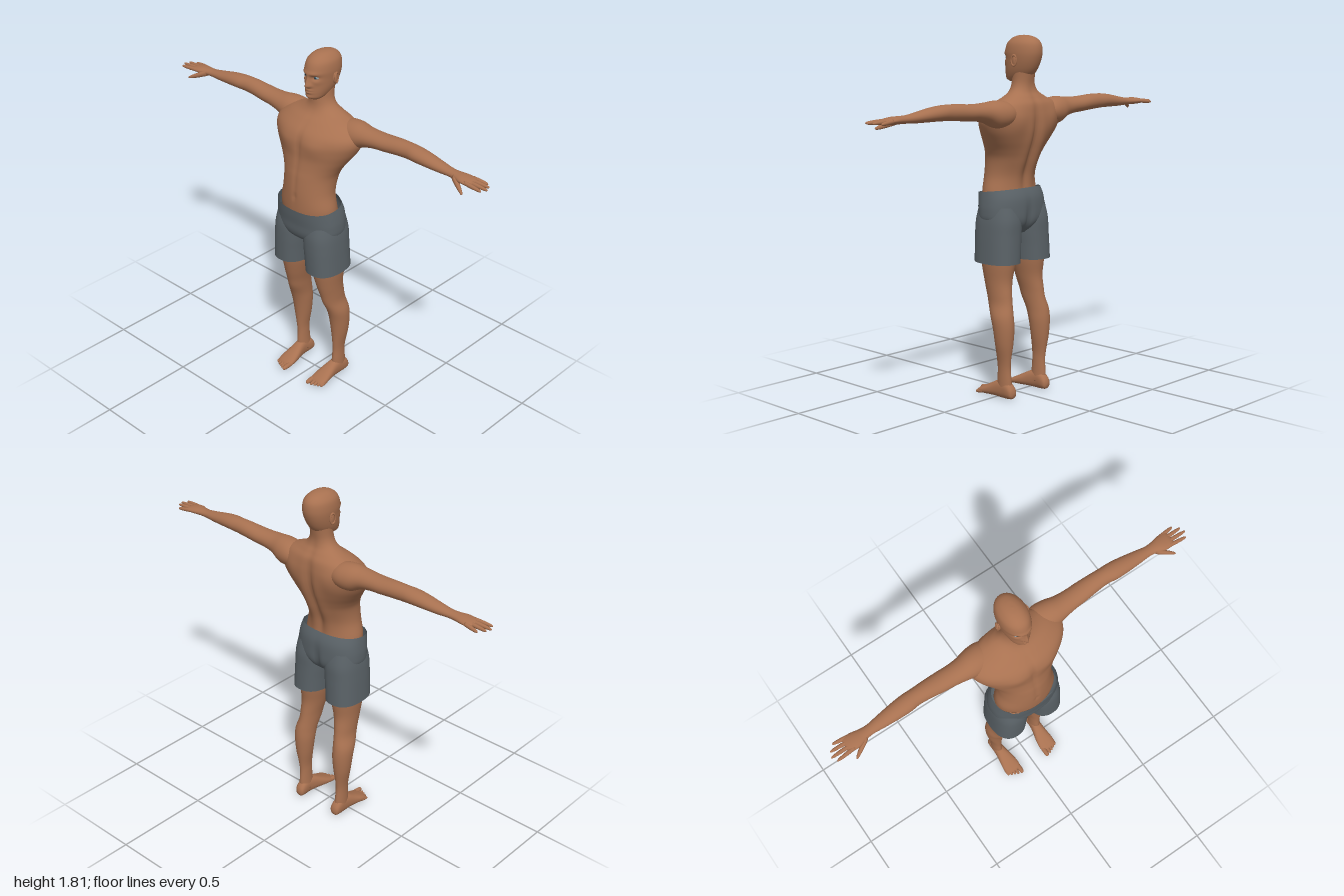
import * as THREE from 'three';

const skin = new THREE.MeshStandardMaterial({ color: 0xa87150 });
skin.name = 'skin';
const cloth = new THREE.MeshStandardMaterial({ color: 0x5a6267, side: THREE.DoubleSide });
cloth.name = 'grey cloth';
const eyeWhite = new THREE.MeshStandardMaterial({ color: 0x9aa3a6 });
eyeWhite.name = 'eye white';
const iris = new THREE.MeshStandardMaterial({ color: 0x3f6478 });
iris.name = 'blue iris';
const pupil = new THREE.MeshStandardMaterial({ color: 0x15181a });
pupil.name = 'pupil';

const bell = (x, centre, width) => Math.exp(-(((x - centre) / width) ** 2));
const spline = (a, b, c, d, t) =>
  b + 0.5 * t * (c - a + t * (2 * a - 5 * b + 4 * c - d + t * (3 * (b - c) + d - a)));
const sgnPow = (v, e) => Math.sign(v) * Math.abs(v) ** e;

// Maps (along, u, v) to xyz for a limb running along each axis
const axes = {
  x: (t, u, v) => new THREE.Vector3(t, v, u),
  y: (t, u, v) => new THREE.Vector3(u, t, v),
  z: (t, u, v) => new THREE.Vector3(v, u, t),
};

// Smooth skin through cross-sections [along, uCentre, uHalf, vMax, vMin, vWidest]
function loft(name, material, rows, { axis = 'y', side = 1, seg = 40, sub = 5, e = 2, caps = true, sculpt } = {}) {
  const pos = [], idx = [];
  const rings = (rows.length - 1) * sub;
  const full = rows.map((r) => [...r.slice(0, 5), r[5] ?? (r[3] + r[4]) / 2]);
  const at = (i) => full[Math.min(Math.max(i, 0), full.length - 1)];
  const put = (p) => pos.push(p.x * side, p.y, p.z);
  const tri = (a, b, c) => (side > 0 ? idx.push(a, b, c) : idx.push(a, c, b));
  for (let i = 0; i <= rings; i++) {
    const k = Math.min(Math.floor(i / sub), rows.length - 2), f = i / sub - k;
    const [t, uc, hu, vMax, vMin, vc] = at(k).map((_, j) =>
      spline(at(k - 1)[j], at(k)[j], at(k + 1)[j], at(k + 2)[j], f));
    for (let j = 0; j < seg; j++) {
      const a = (j / seg) * Math.PI * 2;
      const s = sgnPow(Math.sin(a), 2 / e);
      const p = axes[axis](t, uc + hu * sgnPow(Math.cos(a), 2 / e), vc + s * (s > 0 ? vMax - vc : vc - vMin));
      if (sculpt) sculpt(p, s);
      put(p);
    }
  }
  for (let i = 0; i < rings; i++) {
    for (let j = 0; j < seg; j++) {
      const a = i * seg + j, b = i * seg + ((j + 1) % seg);
      tri(a, a + seg, b);
      tri(b, a + seg, b + seg);
    }
  }
  if (caps) {
    for (const [r, start] of [[at(0), 0], [at(rows.length), rings * seg]]) {
      const centre = pos.length / 3;
      put(axes[axis](r[0], r[1], r[5]));
      for (let j = 0; j < seg; j++) {
        const a = start + j, b = start + ((j + 1) % seg);
        if (start === 0) tri(centre, a, b);
        else tri(centre, b, a);
      }
    }
  }
  const geo = new THREE.BufferGeometry();
  geo.setAttribute('position', new THREE.Float32BufferAttribute(pos, 3));
  geo.setIndex(idx);
  geo.computeVertexNormals();
  const mesh = new THREE.Mesh(geo, material);
  mesh.name = name;
  return mesh;
}

function ball(name, material, radius, scale, position) {
  const mesh = new THREE.Mesh(new THREE.SphereGeometry(radius, 20, 14), material);
  mesh.name = name;
  mesh.scale.set(...scale);
  mesh.position.set(...position);
  return mesh;
}

// Rounded finger, toe or thumb between two points [along, u, v]
function digit(name, axis, side, a, b, r0, r1) {
  const rows = [[0, 0.9], [0.4, 1], [0.75, 0.95], [0.93, 0.7], [1, 0.08]].map(([f, k]) => {
    const [t, u, v] = a.map((n, i) => n + (b[i] - n) * f);
    const r = (r0 + (r1 - r0) * f) * k;
    return [t, u, r, v + r, v - r];
  });
  return loft(name, skin, rows, { axis, side, seg: 14, sub: 3 });
}

// Chest, spine and shoulder-blade relief
function sculptTorso(p, s) {
  const x = Math.abs(p.x), y = p.y;
  if (s > 0) {
    p.z += s * (0.009 * bell(x, 0.09, 0.06) * bell(y, 1.38, 0.045) - 0.008 * bell(x, 0, 0.014) * bell(y, 1.37, 0.09));
    p.z -= s * (0.004 * bell(x, 0, 0.012) * bell(y, 1.18, 0.1) + 0.006 * bell(x, 0, 0.01) * bell(y, 1.1, 0.012));
  } else {
    p.z -= s * 0.022 * bell(x, 0, 0.022) * bell(y, 1.27, 0.2);
    p.z += s * (0.007 * bell(x, 0.05, 0.025) * bell(y, 1.2, 0.14) + 0.01 * bell(x, 0.12, 0.05) * bell(y, 1.4, 0.06));
  }
}

// Brow, eye sockets, nose, lips and chin
function sculptHead(p, s) {
  if (s <= 0) return;
  const x = Math.abs(p.x), y = p.y;
  const nose = y > 1.66 ? bell(y, 1.66, 0.042) : bell(y, 1.66, 0.009);
  p.z += 0.021 * nose * bell(x, 0, 0.009 + 0.007 * bell(y, 1.662, 0.014));
  p.z += 0.006 * bell(y, 1.722, 0.01) * bell(x, 0.025, 0.028);
  p.z -= 0.011 * bell(y, 1.703, 0.011) * bell(x, 0.031, 0.016);
  p.z += 0.004 * bell(y, 1.682, 0.014) * bell(x, 0.045, 0.015);
  p.z += 0.007 * (bell(y, 1.639, 0.005) + bell(y, 1.626, 0.005)) * bell(x, 0, 0.019);
  p.z += 0.005 * bell(y, 1.602, 0.01) * bell(x, 0, 0.02);
}

export function createModel() {
  const model = new THREE.Group();
  model.name = 'standing man';

  model.add(loft('torso and neck', skin, [
    [0.98, 0, 0.16, 0.143, -0.085, 0.03], [1.04, 0, 0.16, 0.147, -0.068, 0.04],
    [1.12, 0, 0.143, 0.147, -0.074, 0.04], [1.2, 0, 0.146, 0.14, -0.105, 0.025],
    [1.25, 0, 0.166, 0.131, -0.125, 0.01], [1.3, 0, 0.2, 0.124, -0.143, -0.01],
    [1.35, 0, 0.234, 0.122, -0.154, -0.03], [1.4, 0, 0.256, 0.117, -0.157, -0.045],
    [1.44, 0, 0.25, 0.1, -0.155, -0.06], [1.48, 0, 0.2, 0.06, -0.148, -0.065],
    [1.51, 0, 0.13, 0.025, -0.13, -0.065], [1.54, 0, 0.08, 0.008, -0.113, -0.06],
    [1.58, 0, 0.058, 0.002, -0.108, -0.058], [1.64, 0, 0.055, 0, -0.118, -0.06],
  ], { seg: 96, sub: 6, sculpt: sculptTorso }));

  model.add(loft('head', skin, [
    [1.585, 0, 0.025, 0.024, -0.06, 0], [1.598, 0, 0.042, 0.042, -0.085, -0.01],
    [1.62, 0, 0.054, 0.046, -0.112, -0.03], [1.65, 0, 0.063, 0.045, -0.135, -0.045],
    [1.69, 0, 0.069, 0.045, -0.153, -0.06], [1.73, 0, 0.072, 0.046, -0.162, -0.06],
    [1.77, 0, 0.066, 0.033, -0.157, -0.06], [1.795, 0, 0.048, 0.008, -0.135, -0.06],
    [1.808, 0, 0.026, -0.025, -0.1, -0.06], [1.812, 0, 0.002, -0.058, -0.062, -0.06],
  ], { seg: 112, sub: 8, e: 2.1, sculpt: sculptHead }));

  for (const s of [1, -1]) {
    const label = s > 0 ? 'left' : 'right';
    const add = (...parts) => model.add(...parts);

    // Eyes and ears
    add(ball(`${label} eye`, eyeWhite, 0.013, [1.1, 0.75, 1], [s * 0.031, 1.703, 0.018]));
    add(ball(`${label} iris`, iris, 0.0075, [1, 1, 0.5], [s * 0.031, 1.703, 0.0285]));
    add(ball(`${label} pupil`, pupil, 0.0035, [1, 1, 0.5], [s * 0.031, 1.703, 0.0312]));
    add(ball(`${label} ear`, skin, 0.028, [0.28, 1, 0.55], [s * 0.073, 1.688, -0.064]));
    const rim = new THREE.Mesh(new THREE.TorusGeometry(0.022, 0.005, 8, 28), skin);
    rim.name = `${label} ear rim`;
    rim.scale.set(0.65, 1.15, 1);
    rim.position.set(s * 0.079, 1.69, -0.066);
    rim.rotation.y = Math.PI / 2 + s * 0.25;
    add(rim);

    // Arm and hand: along x, [x, z, halfZ, top, bottom]
    add(loft(`${label} arm`, skin, [
      [0.1, -0.075, 0.055, 1.475, 1.39], [0.16, -0.077, 0.07, 1.497, 1.37],
      [0.22, -0.073, 0.07, 1.503, 1.368], [0.28, -0.068, 0.058, 1.497, 1.395],
      [0.34, -0.069, 0.052, 1.494, 1.409], [0.4, -0.071, 0.05, 1.495, 1.414],
      [0.47, -0.073, 0.045, 1.5, 1.42], [0.53, -0.073, 0.042, 1.501, 1.424],
      [0.58, -0.07, 0.045, 1.499, 1.426], [0.64, -0.068, 0.042, 1.492, 1.426],
      [0.72, -0.066, 0.034, 1.477, 1.426], [0.78, -0.064, 0.027, 1.467, 1.428],
      [0.82, -0.062, 0.03, 1.465, 1.428], [0.86, -0.06, 0.04, 1.464, 1.428],
      [0.9, -0.062, 0.042, 1.458, 1.431], [0.918, -0.062, 0.036, 1.45, 1.437],
    ], { axis: 'x', side: s }));
    const tips = [[0.985, -0.022], [1, -0.05], [0.99, -0.077], [0.962, -0.104]];
    tips.forEach(([x, z], i) => add(digit(`${label} finger ${i + 1}`, 'x', s,
      [0.885, -0.031 - i * 0.0205, 1.445], [x, z, 1.441 - (i === 3 ? 0.004 : 0)], 0.0115, 0.0075)));
    add(digit(`${label} thumb`, 'x', s, [0.815, -0.045, 1.443], [0.905, 0.008, 1.408], 0.018, 0.009));

    // Leg: along y, [y, x, halfX, front, back]
    add(loft(`${label} leg`, skin, [
      [0.04, 0.125, 0.028, -0.005, -0.093], [0.09, 0.127, 0.026, -0.004, -0.09],
      [0.15, 0.128, 0.025, -0.008, -0.085], [0.2, 0.13, 0.028, -0.006, -0.088],
      [0.28, 0.132, 0.042, 0, -0.099], [0.36, 0.132, 0.05, 0.012, -0.104],
      [0.42, 0.131, 0.051, 0.03, -0.099], [0.48, 0.121, 0.047, 0.056, -0.085],
      [0.53, 0.117, 0.05, 0.07, -0.077], [0.6, 0.111, 0.06, 0.09, -0.07],
      [0.7, 0.105, 0.076, 0.11, -0.082], [0.85, 0.1, 0.083, 0.12, -0.088],
    ], { side: s }));

    // Foot: along z, [z, y, halfY, outer, inner]
    add(loft(`${label} foot`, skin, [
      [-0.112, 0.03, 0.006, 0.13, 0.118], [-0.104, 0.032, 0.026, 0.148, 0.102],
      [-0.08, 0.042, 0.041, 0.154, 0.097], [-0.04, 0.047, 0.047, 0.154, 0.097],
      [0, 0.043, 0.042, 0.156, 0.09], [0.04, 0.033, 0.032, 0.161, 0.08],
      [0.08, 0.023, 0.022, 0.166, 0.074], [0.11, 0.016, 0.014, 0.162, 0.075],
      [0.122, 0.013, 0.006, 0.152, 0.08],
    ], { axis: 'z', side: s, e: 2.3 }));
    for (let i = 0; i < 5; i++) {
      const r = i === 0 ? 0.0135 : 0.0095, x = i === 0 ? 0.087 : 0.092 + i * 0.0165;
      add(digit(`${label} toe ${i + 1}`, 'z', s, [0.095 - i * 0.004, 0.017, x],
        [0.156 - i * 0.008, r, x], r, r * 0.9));
    }

    // Shorts leg, open at the hem
    add(loft(`${label} shorts leg`, cloth, [
      [0.688, 0.109, 0.091, 0.141, -0.106], [0.76, 0.105, 0.092, 0.143, -0.104],
      [0.83, 0.1, 0.094, 0.144, -0.102], [0.9, 0.096, 0.093, 0.141, -0.1],
      [0.97, 0.092, 0.085, 0.125, -0.085],
    ], { side: s, e: 2.4, caps: false }));
  }

  // Seat of the shorts, with a waistline that rises toward the back
  model.add(loft('shorts seat', cloth, [
    [0.83, 0, 0.07, 0.08, -0.05], [0.865, 0, 0.14, 0.128, -0.085],
    [0.9, 0, 0.184, 0.145, -0.101], [0.95, 0, 0.189, 0.149, -0.103],
    [1, 0, 0.183, 0.154, -0.098], [1.045, 0, 0.174, 0.157, -0.079],
  ], {
    seg: 96, e: 2.35, caps: false,
    sculpt: (p, s) => {
      if (s < 0) p.z -= s * 0.016 * bell(p.x, 0, 0.018) * bell(p.y, 0.9, 0.07);
      p.y += (0.04 - p.z) * 0.13 * THREE.MathUtils.smoothstep(p.y, 0.93, 1.045);
    },
  }));

  return model;
}
